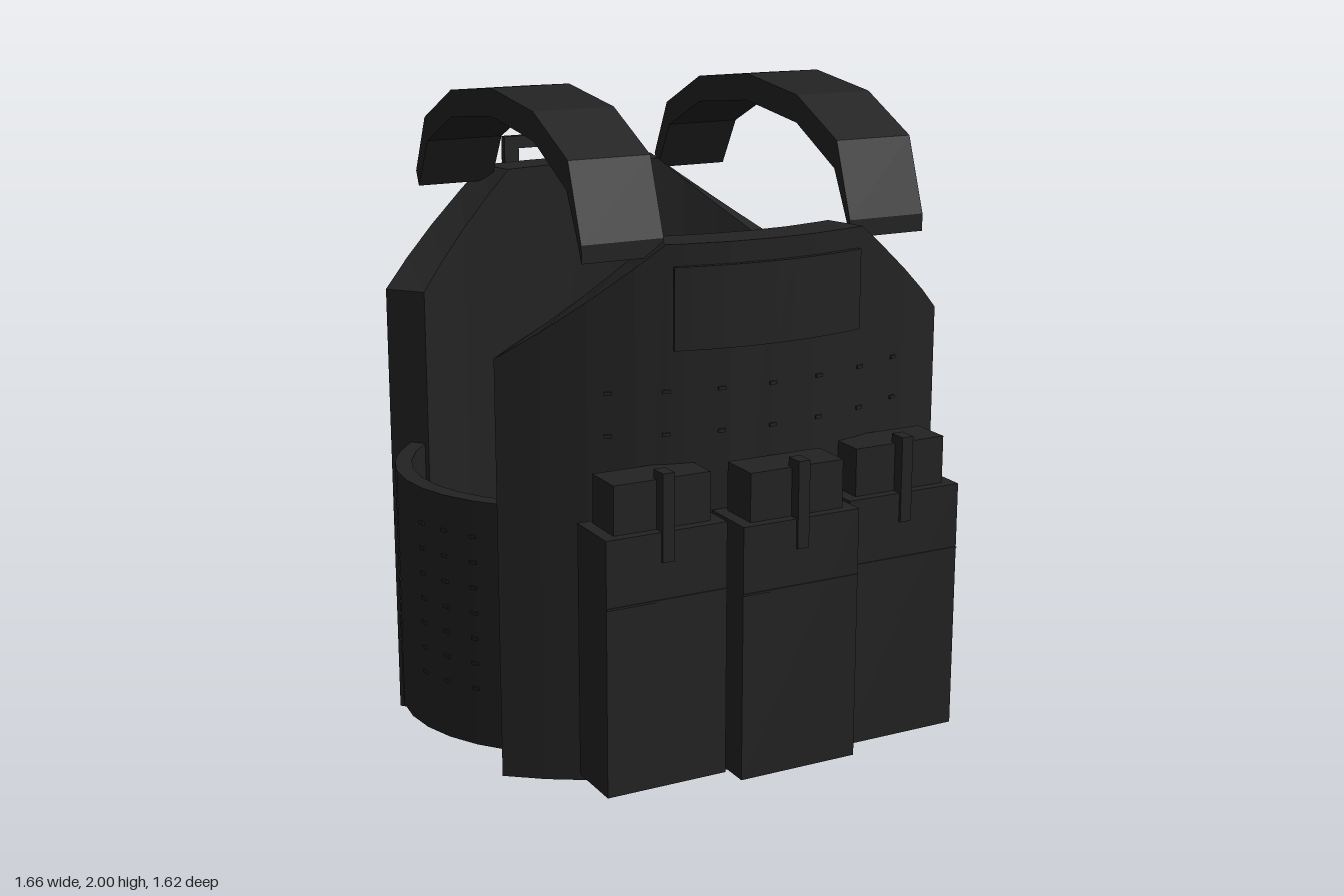
import * as THREE from 'three';

const fabric = new THREE.MeshStandardMaterial({ color: 0x232323 });
fabric.name = 'blackFabric';

// Faceted curved wall; each column holds outer [x,z], inner [x,z], bottom y0 and top y1
function wall(columns) {
  const pos = [];
  const quad = (a, b, c, d) => pos.push(...a, ...b, ...c, ...a, ...c, ...d);
  const c = columns.map(({ o, i, y0, y1 }) => ({
    ob: [o[0], y0, o[1]], ot: [o[0], y1, o[1]],
    ib: [i[0], y0, i[1]], it: [i[0], y1, i[1]],
  }));
  for (let k = 0; k < c.length - 1; k++) {
    const a = c[k], b = c[k + 1];
    quad(a.ob, b.ob, b.ot, a.ot);
    quad(b.ib, a.ib, a.it, b.it);
    quad(a.ot, b.ot, b.it, a.it);
    quad(a.ib, b.ib, b.ob, a.ob);
  }
  const s = c[0], e = c[c.length - 1];
  quad(e.ob, e.ib, e.it, e.ot);
  quad(s.ib, s.ob, s.ot, s.it);
  const g = new THREE.BufferGeometry();
  g.setAttribute('position', new THREE.Float32BufferAttribute(pos, 3));
  g.computeVertexNormals();
  return g;
}

const R_OUT = 1.1, R_IN = 0.97;

// Circular-arc panel with sloped shoulders from (topX, yTop) to (halfWidth, yShoulder)
function panel(rOut, rIn, halfWidth, topX, y0, yTop, yShoulder) {
  const xs = [];
  for (let k = 0; k <= 12; k++) xs.push(halfWidth * Math.sin((k / 12 - 0.5) * Math.PI * 0.5) / Math.sin(Math.PI / 4));
  if (topX < halfWidth) xs.push(-topX, topX);
  xs.sort((a, b) => a - b);
  return wall(xs.map((x) => {
    const t = Math.asin(x / rOut);
    const f = topX < halfWidth ? Math.max(0, (Math.abs(x) - topX) / (halfWidth - topX)) : 0;
    return {
      o: [x, rOut * Math.cos(t)], i: [rIn * Math.sin(t), rIn * Math.cos(t)],
      y0, y1: yTop + (yShoulder - yTop) * f,
    };
  }));
}

function add(parent, name, geometry, x = 0, y = 0, z = 0) {
  const m = new THREE.Mesh(geometry, fabric);
  m.name = name;
  m.position.set(x, y, z);
  parent.add(m);
  return m;
}

// Box given by its limits
function box(parent, name, x0, x1, y0, y1, z0, z1) {
  return add(parent, name, new THREE.BoxGeometry(x1 - x0, y1 - y0, z1 - z0),
    (x0 + x1) / 2, (y0 + y1) / 2, (z0 + z1) / 2);
}

export function createModel() {
  const vest = new THREE.Group();
  vest.name = 'plateVest';
  const tackGeo = new THREE.BoxGeometry(0.022, 0.01, 0.008);

  // Front panel with its curved patch and webbing tacks
  const front = new THREE.Group();
  front.name = 'frontPanel';
  front.position.z = -0.465;
  vest.add(front);
  add(front, 'frontBody', panel(R_OUT, R_IN, 0.72, 0.31, 0.095, 1.635, 1.32));
  add(front, 'chestPatch', panel(R_OUT + 0.015, R_OUT - 0.03, 0.295, 0.295, 1.345, 1.575, 1.575));

  // Back panel, turned round
  const back = new THREE.Group();
  back.name = 'backPanel';
  back.position.z = 0.372;
  back.rotation.y = Math.PI;
  vest.add(back);
  add(back, 'backBody', panel(R_OUT, R_IN, 0.72, 0.3, 0, 1.68, 1.36));

  const tackOnArc = (parent, x, y) => {
    const t = Math.asin(x / R_OUT);
    add(parent, 'webbingTack', tackGeo, x, y, R_OUT * Math.cos(t)).rotation.y = t;
  };
  for (let x = -0.62; x < 0.63; x += 0.155)
    for (let y = 0.34; y < 1.33; y += 0.115) tackOnArc(back, x, y);
  for (const x of [-0.46, -0.31, -0.155, 0, 0.155, 0.31, 0.46])
    for (const y of [1.11, 1.23]) tackOnArc(front, x, y);

  // Waist bands, one on each side, with rows of tacks
  const bandCols = [];
  for (let k = 0; k <= 12; k++) {
    const t = THREE.MathUtils.degToRad(54 - 9 * k);
    const c = Math.cos(t), s = Math.sin(t);
    bandCols.push({ o: [0.832 * c, 0.62 * s], i: [0.782 * c, 0.575 * s], y0: 0.145, y1: 0.885 });
  }
  const bandGeo = wall(bandCols);
  for (const side of [1, -1]) {
    const band = new THREE.Group();
    band.name = side > 0 ? 'leftWaistBand' : 'rightWaistBand';
    band.position.z = -0.045;
    band.rotation.y = side > 0 ? 0 : Math.PI;
    vest.add(band);
    add(band, 'bandBody', bandGeo);
    for (const deg of [-27, -18, -9, 9, 18, 27]) {
      const t = THREE.MathUtils.degToRad(deg);
      for (let y = 0.32; y < 0.8; y += 0.0765)
        add(band, 'bandTack', tackGeo, 0.832 * Math.cos(t), y, 0.62 * Math.sin(t))
          .rotation.y = Math.PI / 2 - Math.atan2(Math.sin(t) / 0.62, Math.cos(t) / 0.832);
    }
  }

  // Shoulder straps: side profile in (z, y), extruded across the width
  const profile = [
    [0.548, 1.595], [0.548, 1.645], [0.47, 1.86], [0.25, 1.965], [-0.04, 2], [-0.34, 1.965],
    [-0.56, 1.86], [-0.645, 1.685], [-0.625, 1.64], [-0.54, 1.79], [-0.34, 1.885],
    [-0.04, 1.92], [0.25, 1.885], [0.46, 1.78], [0.53, 1.64],
  ];
  const strapShape = new THREE.Shape(profile.map(([z, y]) => new THREE.Vector2(-z, y)));
  const strapGeo = new THREE.ExtrudeGeometry(strapShape, { depth: 0.245, bevelEnabled: false });
  strapGeo.translate(0, 0, -0.1225);
  strapGeo.rotateY(Math.PI / 2);
  add(vest, 'leftShoulderStrap', strapGeo, 0.4175);
  add(vest, 'rightShoulderStrap', strapGeo, -0.4175);

  // Drag handle: upright frame on a short shelf
  const handle = new THREE.Group();
  handle.name = 'dragHandle';
  vest.add(handle);
  box(handle, 'handleShelf', -0.18, 0.18, 1.57, 1.63, -0.79, -0.7);
  box(handle, 'handleTop', -0.18, 0.18, 1.71, 1.75, -0.81, -0.785);
  box(handle, 'handleBase', -0.18, 0.18, 1.57, 1.63, -0.81, -0.785);
  for (const s of [1, -1])
    box(handle, 'handlePost', s * 0.155 - 0.025, s * 0.155 + 0.025, 1.63, 1.71, -0.81, -0.785);

  // Three pouches, each with insert, pull strap and seam
  for (const [x, dz] of [[-0.381, -0.068], [0, 0], [0.381, -0.068]]) {
    const pouch = new THREE.Group();
    pouch.name = 'pouch';
    pouch.position.set(x, 0, dz);
    vest.add(pouch);
    box(pouch, 'pouchBody', -0.184, 0.184, 0.145, 0.885, 0.625, 0.802);
    box(pouch, 'pouchInsert', -0.147, 0.147, 0.885, 1.025, 0.645, 0.773);
    box(pouch, 'pullStrap', -0.018, 0.018, 0.8, 1.05, 0.755, 0.81);
    box(pouch, 'pouchSeam', -0.184, 0.184, 0.688, 0.694, 0.8, 0.805);
  }
  return vest;
}
